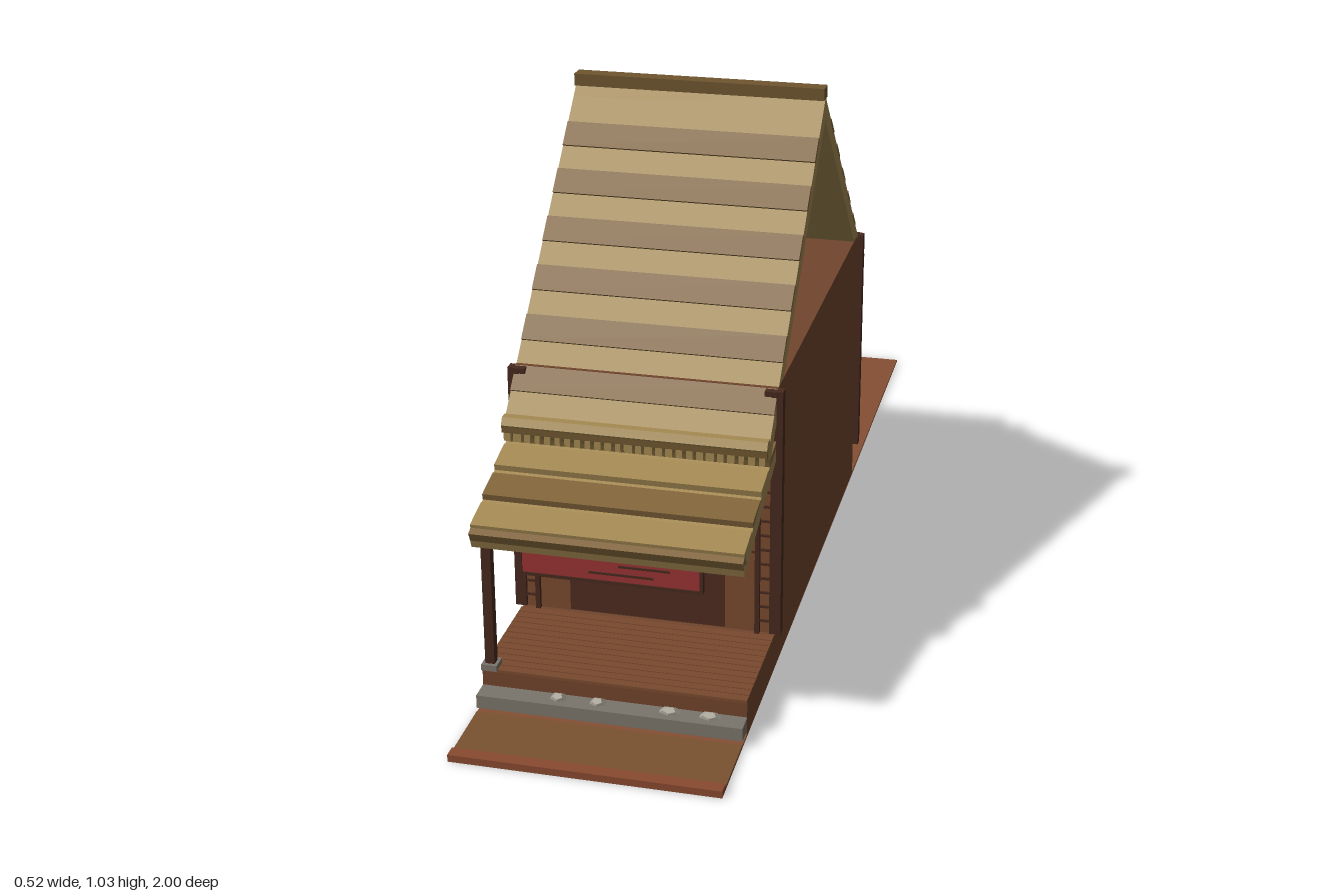
import * as THREE from 'three';

const C = {
  earth: 0x864f33, path: 0x7a5230, curb: 0x8a4a30, wall: 0x72452c, back: 0x633a28,
  panel: 0x7a4a2e, dark: 0x47291e, door: 0x4e2c20, seam: 0x4a2c1c, stone: 0x7b756b,
  pebble: 0xa7a297, light: 0xa58a52, shade: 0x81643a, ridge: 0x705630, sign: 0x983332, pot: 0x6a3a28,
};
const mats = {};
const mat = (c) => (mats[c] ??= new THREE.MeshStandardMaterial({ color: C[c], flatShading: true }));

export function createModel() {
  const root = new THREE.Group();
  root.name = 'gableHut';

  const add = (name, geo, c) => {
    const m = new THREE.Mesh(geo, mat(c));
    m.name = name;
    root.add(m);
    return m;
  };
  // Box given by its extents
  const box = (name, c, x0, x1, y0, y1, z0, z1) => {
    const m = add(name, new THREE.BoxGeometry(x1 - x0, y1 - y0, z1 - z0), c);
    m.position.set((x0 + x1) / 2, (y0 + y1) / 2, (z0 + z1) / 2);
    return m;
  };
  // Full-width sloping slab whose top runs from (z0,y0) to (z1,y1), z0 < z1
  const slab = (name, c, z0, y0, z1, y1, t, w = 0.5) => {
    const dz = z1 - z0, dy = y1 - y0, len = Math.hypot(dz, dy);
    const m = add(name, new THREE.BoxGeometry(w, t, len), c);
    m.rotation.x = -Math.atan2(dy, dz);
    m.position.set(0, (y0 + y1) / 2 - (dz / len) * t / 2, (z0 + z1) / 2 + (dy / len) * t / 2);
    return m;
  };
  let seed = 7;
  const rand = () => (seed = (seed * 16807) % 2147483647) / 2147483647;

  // Ground, path and curb
  box('ground', 'earth', -0.25, 0.25, 0, 0.005, -1, 1);
  box('frontPath', 'path', -0.25, 0.25, 0.005, 0.007, 0.84, 0.975);
  box('curb', 'curb', -0.25, 0.25, 0, 0.014, 0.975, 1);

  // House body and porch platform
  box('houseBody', 'wall', -0.25, 0.25, 0.005, 0.58, -0.32, 0.55);
  box('porchPlatform', 'wall', -0.25, 0.25, 0.005, 0.073, 0.55, 0.8);
  for (let i = 0; i < 12; i++) {
    const z = 0.565 + i * 0.02;
    box('deckBoard', 'panel', -0.25, 0.25, 0.07, 0.076, z, z + 0.0175);
  }
  box('stoneStep', 'stone', -0.25, 0.25, 0.014, 0.04, 0.8, 0.84);
  for (const [x, s] of [[-0.1, 1], [-0.025, 1], [0.11, 1.3], [0.185, 1.3]]) {
    const p = add('stepPebble', new THREE.DodecahedronGeometry(0.016), 'pebble');
    p.scale.set(s, 0.7, 0.8);
    p.position.set(x, 0.04, 0.815);
  }

  // Corner posts
  for (const s of [-1, 1]) {
    for (const z of [0.553, -0.325]) {
      const p = box('cornerPost', 'dark', -0.011, 0.011, 0.078, 0.578, z - 0.01, z + 0.01);
      p.position.x = s * 0.251;
      const b = box('postBracket', 'dark', -0.012, 0.012, 0.568, 0.578, z - 0.012, z + 0.012);
      b.position.x = s * 0.24;
    }
  }

  // Front wall: doorway, side panels and slatted jambs
  box('doorway', 'door', -0.153, 0.153, 0.076, 0.36, 0.55, 0.553);
  for (const s of [-1, 1]) {
    const span = (name, c, a, b, y0, y1, z1) =>
      box(name, c, s > 0 ? a : -b, s > 0 ? b : -a, y0, y1, 0.55, z1);
    span('sidePanel', 'panel', 0.153, 0.212, 0.076, 0.42, 0.556);
    span('panelRail', 'seam', 0.155, 0.212, 0.243, 0.247, 0.558);
    span('doorJamb', 'dark', 0.212, 0.221, 0.076, 0.42, 0.565);
    span('slatBacking', 'panel', 0.221, 0.24, 0.076, 0.42, 0.556);
    for (let i = 0; i < 10; i++) {
      const y = 0.1 + i * 0.03;
      span('jambSlat', 'dark', 0.221, 0.24, y, y + 0.004, 0.56);
    }
  }

  // Porch post on its stone foot
  box('porchPost', 'dark', -0.244, -0.226, 0.084, 0.38, 0.782, 0.8);
  box('postFoot', 'stone', -0.25, -0.22, 0.074, 0.086, 0.775, 0.807);

  // Hanging sign board with dark frame and strokes
  box('signBoard', 'sign', -0.165, 0.165, 0.288, 0.352, 0.796, 0.805);
  box('signFrame', 'dark', -0.17, 0.17, 0.283, 0.289, 0.794, 0.807);
  for (const s of [-1, 1]) box('signEnd', 'dark', s * 0.167 - 0.003, s * 0.167 + 0.003, 0.283, 0.352, 0.794, 0.807);
  box('signStroke', 'dark', 0.015, 0.11, 0.318, 0.322, 0.805, 0.807);
  box('signStroke', 'dark', -0.04, 0.08, 0.301, 0.305, 0.805, 0.807);

  // Back wall boards
  for (let i = 0; i < 13; i++) {
    const y = 0.01 + i * 0.0435;
    box('backBoard', 'back', -0.24, 0.24, y, y + 0.04, -0.326, -0.32);
  }
  // Back window with crossbars, and the sill slab above it
  box('windowPane', 'door', -0.06, 0.06, 0.085, 0.335, -0.329, -0.32);
  for (const x of [-0.063, 0, 0.063]) box('windowUpright', 'dark', x - 0.004, x + 0.004, 0.08, 0.34, -0.335, -0.325);
  for (const y of [0.083, 0.21, 0.337]) box('windowBar', 'dark', -0.065, 0.065, y - 0.004, y + 0.004, -0.335, -0.325);
  box('ventSlab', 'stone', -0.11, 0.11, 0.465, 0.49, -0.34, -0.32);

  // Main thatched roof: two slopes with raised darker courses
  const zr = 0.115, yr = 1.008;
  for (const s of [-1, 1]) {
    const slope = (name, c, d0, d1, lift, t) => {
      const a = [zr + s * d0, yr - d0 + lift], b = [zr + s * d1, yr - d1 + lift];
      const [p, q] = s > 0 ? [a, b] : [b, a];
      slab(name, c, p[0], p[1], q[0], q[1], t);
    };
    slope('roofSlope', 'light', 0, 0.525, 0, 0.032);
    for (let i = 0; i < 7; i++) {
      const d = 0.068 + i * 0.0732;
      slope('thatchCourse', 'shade', d, Math.min(d + 0.037, 0.525), 0.006, 0.01);
    }
    // Eave roll and hanging straw fringe
    const ze = zr + s * 0.515;
    const roll = add('eaveRoll', new THREE.CylinderGeometry(0.016, 0.016, 0.5, 6), 'light');
    roll.rotation.z = Math.PI / 2;
    roll.position.set(0, 0.497, ze);
    const zf = zr + s * 0.523;
    box('fringeBand', 'ridge', -0.25, 0.25, 0.482, 0.496, zf - 0.006, zf + 0.006);
    for (let i = 0; i < 26; i++) {
      const x = -0.24 + i * 0.0192, w = 0.004 + rand() * 0.004;
      const drop = s > 0 ? 0.465 : 0.43 + rand() * 0.03;
      box('fringeTuft', 'light', x - w, x + w, drop, 0.484, zf - 0.004, zf + 0.004);
    }
  }
  box('ridgeCap', 'ridge', -0.25, 0.25, 1.004, 1.028, zr - 0.016, zr + 0.016);

  // Lean-to porch roof with overlapping courses
  const py = (z) => 0.48 - (z - 0.55) * 0.38;
  slab('porchRoof', 'light', 0.55, py(0.55), 0.84, py(0.84), 0.032);
  for (let i = 0; i < 4; i++) {
    const z0 = 0.56 + i * 0.07, z1 = z0 + 0.062;
    slab('porchCourse', i % 2 ? 'light' : 'shade', z0, py(z0) + 0.004, z1, py(z1) + 0.013, 0.014);
  }
  slab('porchEdge', 'shade', 0.825, py(0.825) + 0.006, 0.843, py(0.843) + 0.004, 0.036);

  // Clay jar behind the house
  const profile = [[0, 0], [0.032, 0], [0.058, 0.04], [0.056, 0.075], [0.034, 0.1], [0.038, 0.115], [0.028, 0.115], [0.024, 0.095], [0, 0.09]];
  const jar = add('jar', new THREE.LatheGeometry(profile.map(([r, y]) => new THREE.Vector2(r, y)), 7), 'pot');
  jar.position.set(0.11, 0.005, -0.52);

  return root;
}
